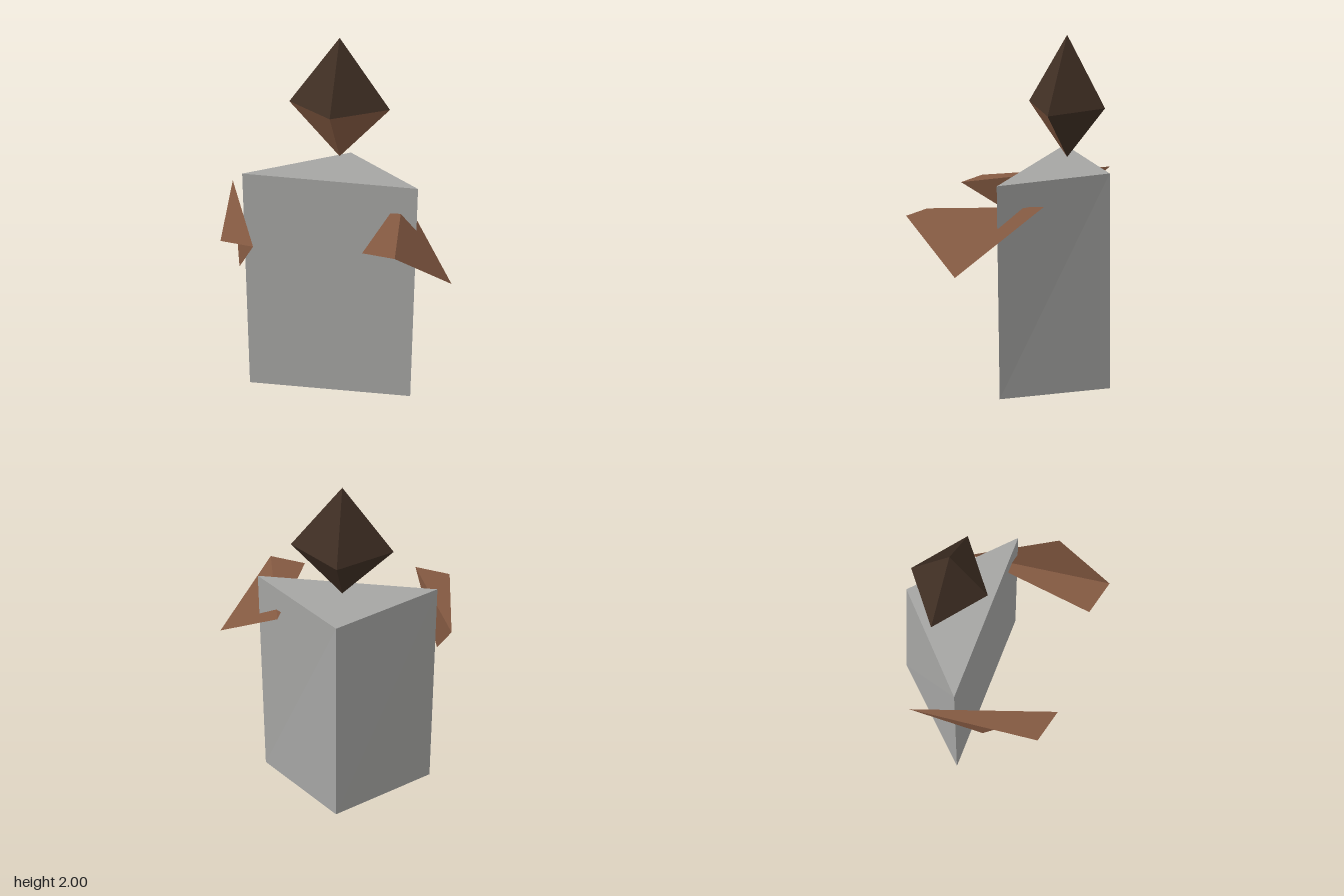
import * as THREE from 'three';

const flat = (name, color, side = THREE.FrontSide) =>
  new THREE.MeshStandardMaterial({ name, color, flatShading: true, side });

// Faceted mesh from corner points and triangles of point indices
function facets(name, points, triangles, material) {
  const geometry = new THREE.BufferGeometry();
  const corners = triangles.flat().flatMap((i) => points[i]);
  geometry.setAttribute('position', new THREE.Float32BufferAttribute(corners, 3));
  geometry.computeVertexNormals();
  const mesh = new THREE.Mesh(geometry, material);
  mesh.name = name;
  return mesh;
}

export function createModel() {
  const stone = flat('grey cloth', 0xa6a6a4);
  const hair = flat('dark hair', 0x402f24);
  const skin = flat('brown skin', 0x855a42, THREE.DoubleSide);
  const model = new THREE.Group();
  model.name = 'figure';

  // Body: three-sided prism, slightly wider at the top
  const ring = (y, half) => [
    [-0.062 - half, y, -0.035], [-0.062 + half, y, -0.035], [-0.062, y, -0.508],
  ];
  const bodyFaces = [[0, 2, 1], [3, 4, 5]];
  for (let i = 0; i < 3; i++) {
    const j = (i + 1) % 3;
    bodyFaces.push([i, j, j + 3], [i, j + 3, i + 3]);
  }
  model.add(facets('body', [...ring(0, 0.458), ...ring(1.23, 0.503)], bodyFaces, stone));

  // Head: stretched octahedron, the two lower front facets being the face
  const headPoints = [
    [-0.062, 1.6, -0.025], [0.226, 1.6, -0.253], [-0.062, 1.6, -0.48], [-0.35, 1.6, -0.253],
    [-0.062, 2, -0.253], [-0.062, 1.3, -0.253],
  ];
  const hairFaces = [];
  const skinFaces = [];
  for (let i = 0; i < 4; i++) {
    const j = (i + 1) % 4;
    hairFaces.push([i, j, 4]);
    (i === 0 || i === 3 ? skinFaces : hairFaces).push([j, i, 5]);
  }
  const head = new THREE.Group();
  head.name = 'head';
  head.add(facets('hair', headPoints, hairFaces, hair), facets('face', headPoints, skinFaces, skin));
  model.add(head);

  // Arms: folded sheets of two triangles - shoulder, hand inner, hand outer, elbow
  const armFaces = [[0, 1, 2], [0, 2, 3]];
  model.add(facets('rightArm',
    [[-0.675, 1.1, -0.26], [-0.565, 1.01, 0.46], [-0.367, 1.01, 0.506], [-0.54, 0.74, 0.125]],
    armFaces, skin));
  model.add(facets('leftArm',
    [[0.3, 1.1, -0.26], [0.245, 1.01, 0.46], [0.443, 1.01, 0.506], [0.672, 0.745, 0.122]],
    armFaces, skin));

  return model;
}
